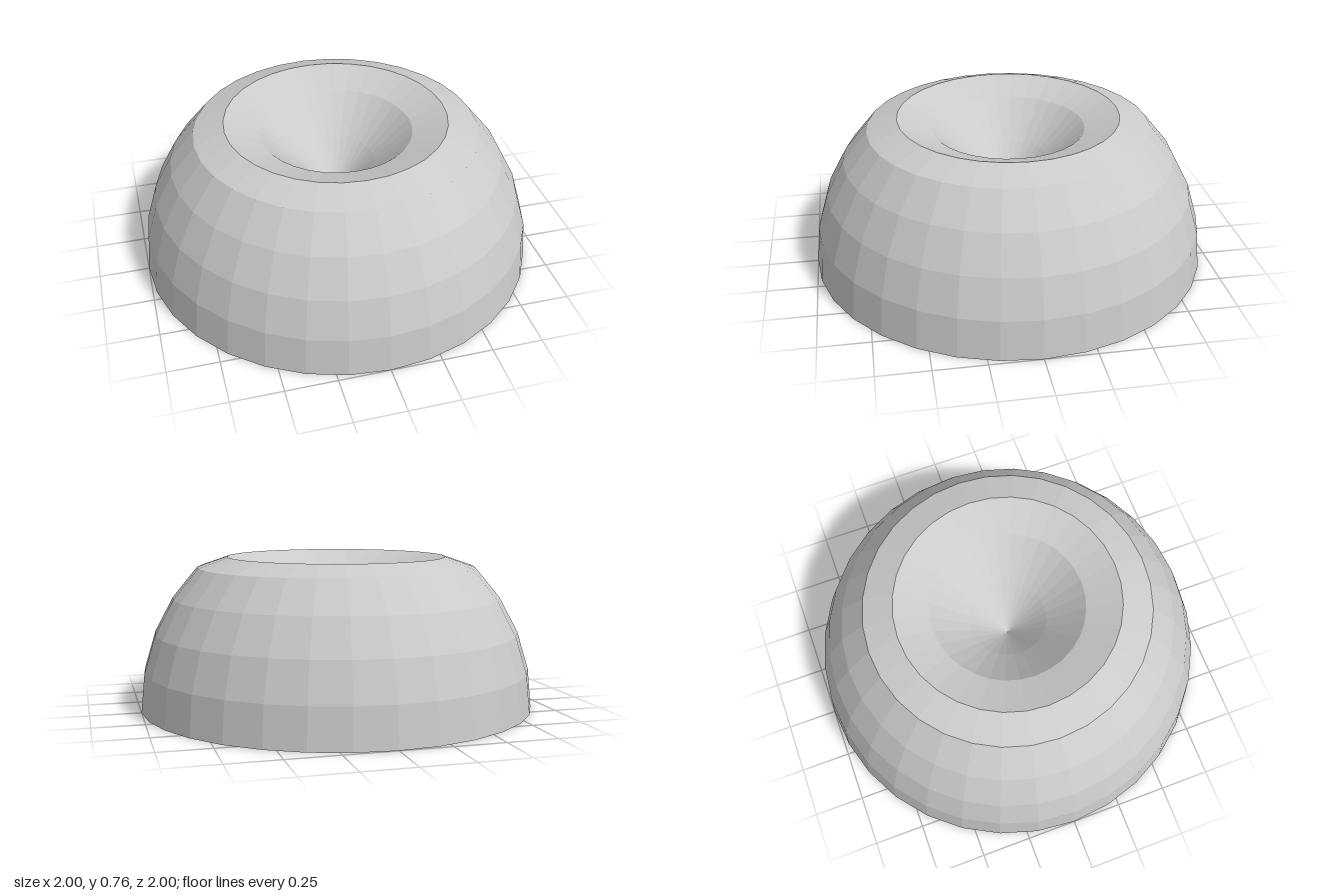
import * as THREE from 'three';

export function createModel() {
  const group = new THREE.Group();
  group.name = 'dimpledDome';

  const material = new THREE.MeshStandardMaterial({
    color: 0xcccccc, flatShading: true, side: THREE.DoubleSide,
  });

  // Lower dome: rings of a unit hemisphere, 11.25 degrees apart
  const profile = [];
  for (let i = 0; i <= 4; i++) {
    const a = (i * Math.PI) / 16;
    profile.push(new THREE.Vector2(Math.cos(a), Math.sin(a)));
  }

  // Upper rings keep their radius but sink into a pointed funnel
  const funnelHeights = [0.76, 0.695, 0.52, 0.31];
  funnelHeights.forEach((y, i) => {
    const a = ((i + 5) * Math.PI) / 16;
    profile.push(new THREE.Vector2(i === 3 ? 0 : Math.cos(a), y));
  });

  // Open-bottomed shell with a sunken top
  const shell = new THREE.Mesh(new THREE.LatheGeometry(profile, 32), material);
  shell.name = 'domeShell';
  group.add(shell);

  return group;
}
